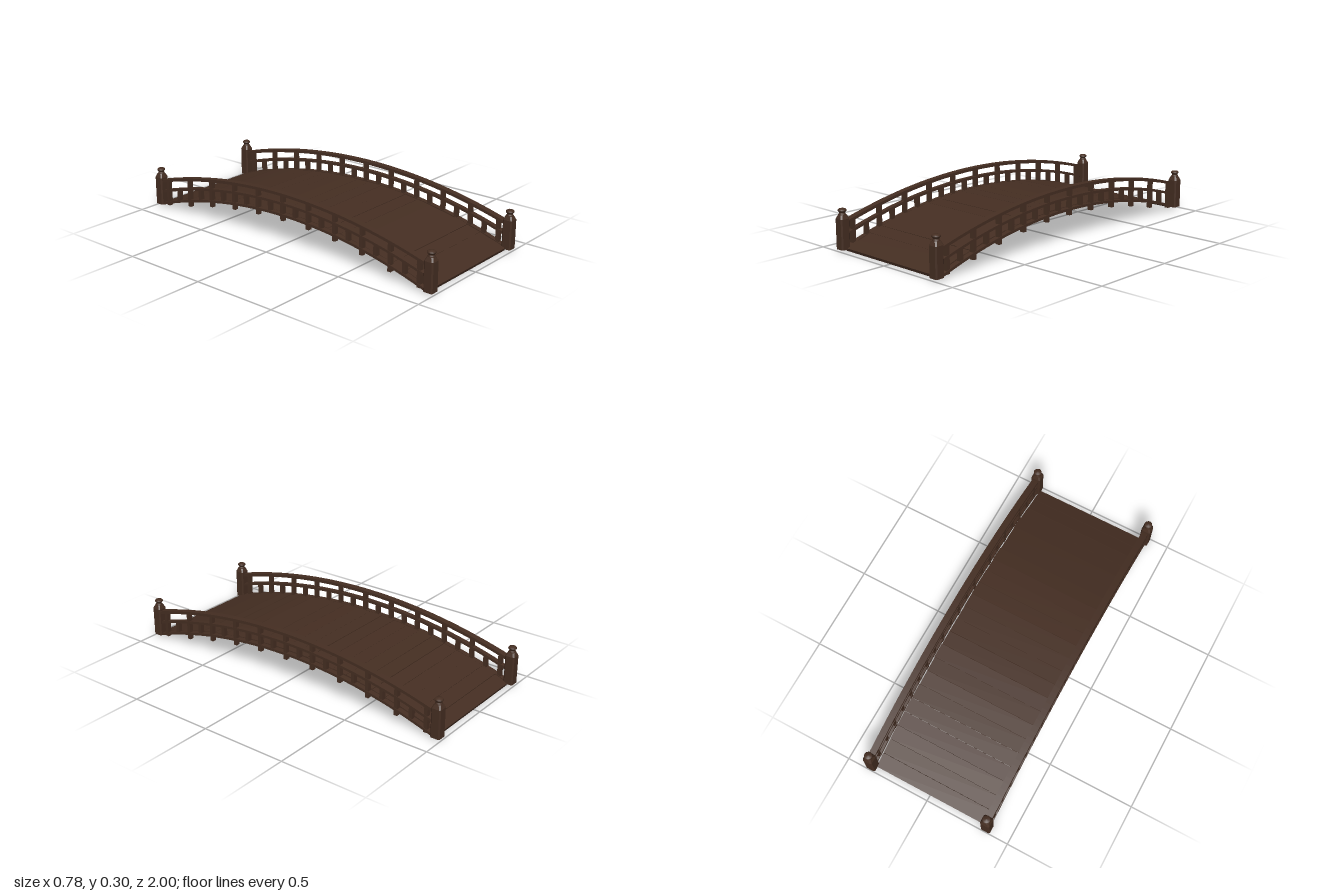
import * as THREE from 'three';

const wood = new THREE.MeshStandardMaterial({ color: 0x452e22 });
wood.name = 'darkWood';

const SIDE = 0.361;          // x of the railings and posts
const POST_Z = 0.971;
// arcs in the zy plane: height of the centreline at z = 0, and radius
const ARCS = {
  deck: { top: 0.163, r: 2.9 },
  lower: { top: 0.164, r: 2.9 },
  middle: { top: 0.229, r: 3.1 },
  upper: { top: 0.282, r: 3.35 },
};
const heightAt = ({ top, r }, z) => top - r + Math.sqrt(r * r - z * z);

function add(parent, name, geometry, x = 0, y = 0, z = 0) {
  const mesh = new THREE.Mesh(geometry, wood);
  mesh.name = name;
  mesh.position.set(x, y, z);
  parent.add(mesh);
  return mesh;
}

// curved bar following an arc along z
function railGeometry({ top, r }, width, thick, reach) {
  const a = Math.asin(reach / r), mid = Math.PI / 2, cy = top - r;
  const shape = new THREE.Shape();
  shape.absarc(0, cy, r + thick / 2, mid - a, mid + a, false);
  shape.absarc(0, cy, r - thick / 2, mid + a, mid - a, true);
  const g = new THREE.ExtrudeGeometry(shape, { depth: width, bevelEnabled: false, curveSegments: 28 });
  return g.translate(0, 0, -width / 2).rotateY(-Math.PI / 2);
}

// square post with chamfered corners, lofted through [height, halfWidth, chamfer]
function postGeometry(rows) {
  const pos = [], index = [];
  for (const [y, h, c] of rows) {
    const k = h - c;
    for (const [x, z] of [[h, k], [k, h], [-k, h], [-h, k], [-h, -k], [-k, -h], [k, -h], [h, -k]]) pos.push(x, y, z);
  }
  for (let i = 0; i < rows.length - 1; i++) {
    for (let j = 0; j < 8; j++) {
      const a = i * 8 + j, b = i * 8 + (j + 1) % 8;
      index.push(a, a + 8, b, b, a + 8, b + 8);
    }
  }
  const last = (rows.length - 1) * 8;
  for (let j = 1; j < 7; j++) {
    index.push(0, j, j + 1);
    index.push(last, last + j + 1, last + j);
  }
  const g = new THREE.BufferGeometry();
  g.setAttribute('position', new THREE.Float32BufferAttribute(pos, 3));
  g.setIndex(index);
  const flat = g.toNonIndexed();
  flat.computeVertexNormals();
  return flat;
}

export function createModel() {
  const model = new THREE.Group();
  model.name = 'archedBridge';

  let seed = 7;
  const jitter = (size) => {
    seed = (seed * 16807) % 2147483647;
    return (seed / 2147483647 - 0.5) * 2 * size;
  };

  // deck planks, evenly spaced along the arc and slightly uneven
  const deck = new THREE.Group();
  deck.name = 'deck';
  model.add(deck);
  const count = 23, end = Math.asin(0.966 / ARCS.deck.r), step = 2 * end / count;
  for (let i = 0; i < count; i++) {
    const a = -end + step * (i + 0.5);
    const z = Math.sin(a) * ARCS.deck.r;
    const length = 0.682 + jitter(0.004);
    const plank = add(deck, 'plank', new THREE.BoxGeometry(length, 0.016, step * ARCS.deck.r - 0.001),
      -0.003 + jitter(0.002), heightAt(ARCS.deck, z) + jitter(0.001), z);
    plank.rotation.set(a + jitter(0.025), 0, jitter(0.002));
  }

  const rails = {
    lowerRail: railGeometry(ARCS.lower, 0.03, 0.014, 0.95),
    middleRail: railGeometry(ARCS.middle, 0.028, 0.014, 0.95),
    handrail: railGeometry(ARCS.upper, 0.037, 0.016, 0.95),
  };
  const body = postGeometry([[0, 0.028, 0.007], [0.165, 0.028, 0.007], [0.187, 0.019, 0.008]]);
  const finial = new THREE.LatheGeometry([
    [0.019, 0.184], [0.02, 0.189], [0.017, 0.193], [0.015, 0.198], [0.018, 0.202],
    [0.023, 0.207], [0.023, 0.212], [0.018, 0.218], [0, 0.221],
  ].map(([x, y]) => new THREE.Vector2(x, y)), 16);

  for (const side of [-1, 1]) {
    const railing = new THREE.Group();
    railing.name = side > 0 ? 'leftRailing' : 'rightRailing';
    railing.position.x = side * SIDE;
    model.add(railing);

    for (const [name, geometry] of Object.entries(rails)) add(railing, name, geometry);

    // long balusters hang below the deck, short ones stop at the middle rail
    for (let i = -10; i <= 10; i++) {
      const z = i * 0.0906, long = i % 2 === 0;
      const top = heightAt(long ? ARCS.upper : ARCS.middle, z);
      const bottom = Math.max(0.004, heightAt(ARCS.lower, z) - (long ? 0.034 : 0));
      add(railing, long ? 'longBaluster' : 'shortBaluster',
        new THREE.BoxGeometry(0.024, top - bottom, 0.021), 0, (top + bottom) / 2, z);
    }

    // end posts with turned caps
    for (const z of [-POST_Z, POST_Z]) {
      add(railing, 'endPost', body, 0, 0, z);
      add(railing, 'postCap', finial, 0, 0, z);
    }
  }
  return model;
}
